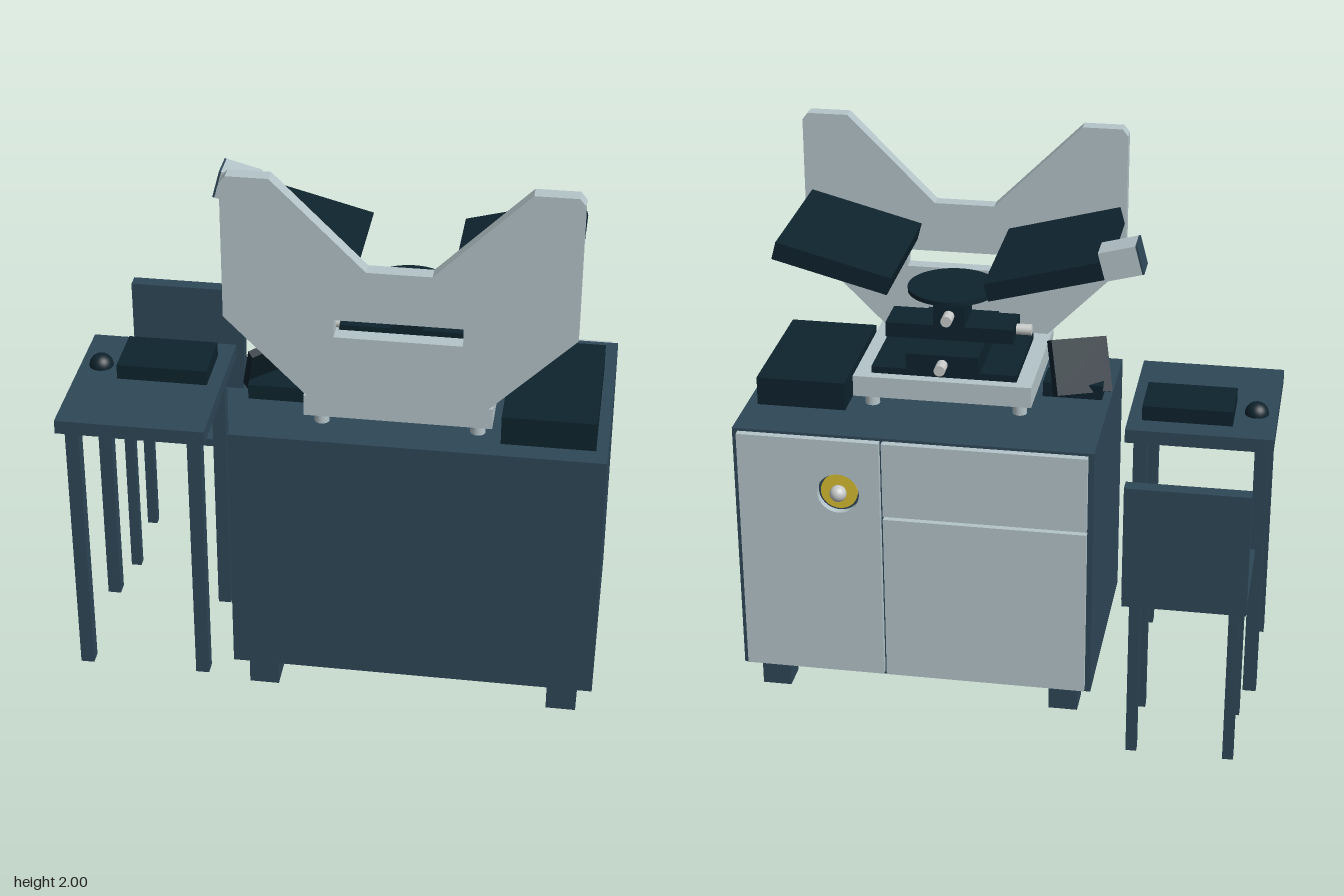
import * as THREE from 'three';

const material = (name, color) => {
  const m = new THREE.MeshStandardMaterial({ color });
  m.name = name;
  return m;
};

export function createModel() {
  const root = new THREE.Group();
  const navy = material('navy', 0x2e4757);
  const black = material('blackNavy', 0x0e232d);
  const grey = material('paleGrey', 0xb4c4c9);
  const silver = material('silver', 0xc8caca);
  const yellow = material('yellow', 0xd8bc30);

  const add = (name, geometry, mat, x = 0, y = 0, z = 0) => {
    const mesh = new THREE.Mesh(geometry, mat);
    mesh.name = name;
    mesh.position.set(x, y, z);
    root.add(mesh);
    return mesh;
  };
  // Box from its minimum and maximum corners
  const box = (name, mat, x0, x1, y0, y1, z0, z1) =>
    add(name, new THREE.BoxGeometry(x1 - x0, y1 - y0, z1 - z0), mat,
      (x0 + x1) / 2, (y0 + y1) / 2, (z0 + z1) / 2);
  const polygon = pts => new THREE.Shape(pts.map(p => new THREE.Vector2(...p)));
  const rect = (x0, x1, y0, y1) => polygon([[x0, y0], [x1, y0], [x1, y1], [x0, y1]]);
  const extrude = (shape, depth) =>
    new THREE.ExtrudeGeometry(shape, { depth, bevelEnabled: false, curveSegments: 24 });
  const legs = (name, w, d, top, xs, zs) => {
    for (const x of xs) for (const z of zs)
      box(name, navy, x - w / 2, x + w / 2, 0, top, z - d / 2, z + d / 2);
  };

  // Cabinet with feet
  box('cabinet', navy, -0.34, 0.94, 0.11, 1.065, -0.285, 0.52);
  legs('cabinetFoot', 0.105, 0.105, 0.11, [-0.235, 0.833], [0.442, -0.19]);

  // Rear door with round recess, and two drawers
  const door = rect(0.412, 0.92, 0.125, 1.055);
  door.holes.push(new THREE.Path().absarc(0.56, 0.85, 0.075, 0, Math.PI * 2, true));
  add('door', extrude(door, 0.026), grey, 0, 0, -0.311);
  box('lowerDrawer', grey, -0.32, 0.402, 0.125, 0.76, -0.311, -0.285);
  box('upperDrawer', grey, -0.32, 0.402, 0.772, 1.055, -0.311, -0.285);
  add('lockPlate', new THREE.CylinderGeometry(0.066, 0.066, 0.008, 32), yellow, 0.56, 0.85, -0.289)
    .rotation.x = Math.PI / 2;
  add('doorKnob', new THREE.SphereGeometry(0.03, 24, 16), silver, 0.56, 0.85, -0.309);

  // Side table with keyboard box and dome
  box('tableTop', navy, -0.94, -0.42, 1.015, 1.065, -0.077, 0.52);
  legs('tableLeg', 0.048, 0.05, 1.015, [-0.896, -0.468], [0.015, 0.445]);
  box('tableBox', black, -0.79, -0.47, 1.065, 1.12, 0.01, 0.215);
  add('dome', new THREE.SphereGeometry(0.043, 24, 16), black, -0.866, 1.066, 0.13);

  // Chair
  box('chairSeat', navy, -0.895, -0.47, 0.61, 0.64, -0.515, -0.095);
  box('chairBack', navy, -0.895, -0.47, 0.64, 1.065, -0.521, -0.47);
  legs('chairLeg', 0.038, 0.035, 0.61, [-0.853, -0.511], [-0.454, -0.165]);

  // Control box and angled display on the cabinet
  box('controlBox', black, 0.58, 0.9, 1.065, 1.17, -0.083, 0.446);
  box('displayBase', black, -0.31, -0.095, 1.065, 1.12, 0.15, 0.28);
  const across = new THREE.Vector3(0.18, 0.035, -0.15).normalize();
  const out = across.clone().cross(new THREE.Vector3(0.045, 0.18, 0.08)).normalize();
  const up = out.clone().cross(across);
  add('display', new THREE.BoxGeometry(0.235, 0.2, 0.03), black, -0.225, 1.18, 0.18)
    .quaternion.setFromRotationMatrix(new THREE.Matrix4().makeBasis(across, up, out));

  // Instrument frame on four round feet
  box('frame', grey, -0.088, 0.55, 1.123, 1.2, -0.078, 0.45);
  for (const x of [-0.036, 0.497]) for (const z of [0, 0.38])
    add('frameFoot', new THREE.CylinderGeometry(0.026, 0.026, 0.06, 24), grey, x, 1.095, z);

  // Notched front shield with a slot
  const shield = polygon([[-0.07, 1.125], [0.53, 1.125], [0.53, 1.195], [0.82, 1.485],
    [0.82, 1.975], [0.8, 2], [0.655, 2], [0.34, 1.685], [0.123, 1.685], [-0.193, 2],
    [-0.335, 2], [-0.355, 1.975], [-0.355, 1.485], [-0.07, 1.195]]);
  shield.holes.push(rect(0.015, 0.445, 1.435, 1.5));
  add('shield', extrude(shield, 0.053), grey, 0, 0, 0.4);

  // Cross stage, post and round sample table
  box('stageBase', black, -0.03, 0.49, 1.2, 1.225, -0.04, 0.345);
  box('depthSlide', black, 0.1, 0.36, 1.225, 1.295, -0.065, 0.36);
  box('crossSlide', black, 0, 0.46, 1.295, 1.35, 0.07, 0.22);
  box('post', black, 0.175, 0.287, 1.35, 1.46, 0.07, 0.22);
  add('sampleTable', new THREE.CylinderGeometry(0.16, 0.16, 0.016, 48), black, 0.23, 1.467, 0.15);
  const knob = (x, y, z) =>
    add('stageKnob', new THREE.CylinderGeometry(0.02, 0.02, 0.056, 20), silver, x, y, z);
  knob(0.23, 1.39, 0.041).rotation.x = Math.PI / 2;
  knob(0.23, 1.26, -0.092).rotation.x = Math.PI / 2;
  knob(-0.027, 1.322, 0.15).rotation.z = Math.PI / 2;

  // Tilted panels either side of the stage
  const tilt = 0.26;
  for (const side of [-1, 1])
    add('tiltedPanel', new THREE.BoxGeometry(0.417, 0.065, 0.535), black,
      0.23 + side * 0.37, 1.626, 0.133).rotation.z = side * tilt;

  // Camera block on the end of the right panel
  const camera = new THREE.Group();
  camera.name = 'cameraBlock';
  camera.position.set(-0.397, 1.708, -0.083);
  camera.rotation.z = -tilt;
  const body = new THREE.Mesh(new THREE.BoxGeometry(0.13, 0.104, 0.105), grey);
  body.name = 'cameraBody';
  const lens = new THREE.Mesh(new THREE.BoxGeometry(0.008, 0.104, 0.105), navy);
  lens.name = 'cameraFace';
  lens.position.x = -0.068;
  camera.add(body, lens);
  root.add(camera);

  return root;
}
